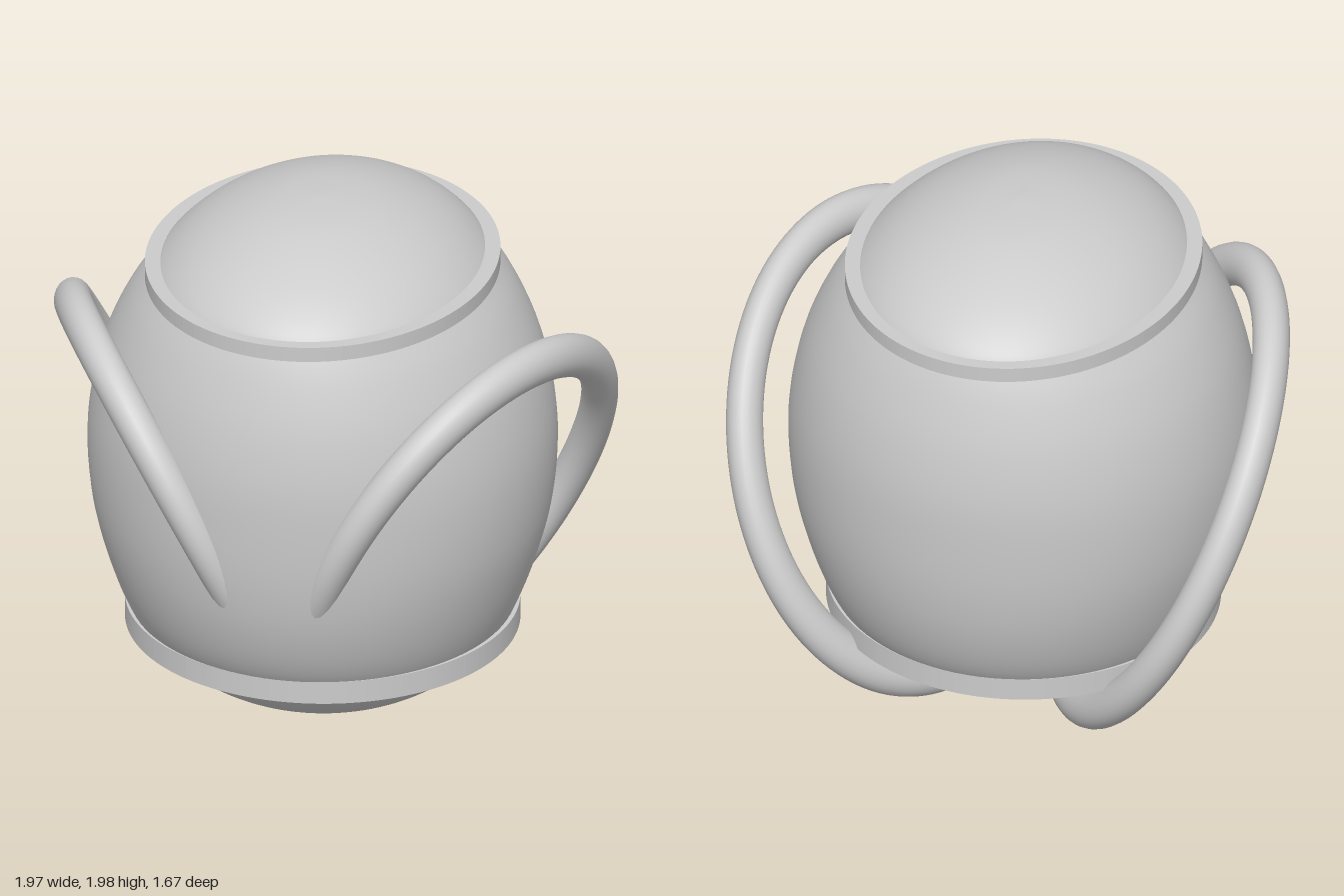
import * as THREE from 'three';
import { mergeVertices } from 'three/addons/utils/BufferGeometryUtils.js';

const material = new THREE.MeshStandardMaterial({ color: 0xcccccc });

function addMesh(parent, name, geometry) {
  const mesh = new THREE.Mesh(geometry, material);
  mesh.name = name;
  parent.add(mesh);
  return mesh;
}

// Barrel body: each row is [half width, height, half depth], bottom to top
function bodyGeometry() {
  const rows = [
    [0, 0.055, 0], [0.2, 0.075, 0.2], [0.39, 0.14, 0.385], [0.53, 0.228, 0.52], [0.63, 0.335, 0.62],
    [0.69, 0.45, 0.705], [0.752, 0.62, 0.772], [0.802, 0.82, 0.812], [0.82, 1.05, 0.828],
    [0.803, 1.23, 0.826], [0.755, 1.42, 0.798], [0.675, 1.59, 0.75], [0.595, 1.7, 0.706],
    [0.545, 1.76, 0.672], [0.46, 1.835, 0.58], [0.34, 1.905, 0.435], [0.18, 1.96, 0.24], [0, 1.98, 0],
  ];
  const curve = new THREE.CatmullRomCurve3(rows.map((r) => new THREE.Vector3(...r)));
  const profile = curve.getPoints(85);
  profile[0].x = profile[85].x = 0;
  const geometry = new THREE.LatheGeometry(profile.map((p) => new THREE.Vector2(Math.max(p.x, 0), p.y)), 96);

  // Stretch each ring from round to its own oval
  const pos = geometry.attributes.position;
  for (let i = 0; i < pos.count; i++) {
    const p = profile[i % profile.length];
    if (p.x > 1e-5) pos.setZ(i, (pos.getZ(i) * p.z) / p.x);
  }
  geometry.deleteAttribute('uv');
  geometry.deleteAttribute('normal');
  const merged = mergeVertices(geometry, 1e-5);
  merged.computeVertexNormals();
  return merged;
}

// Flat-faced oval band with a rectangular section
function bandGeometry(rx, rz, thickness, y0, y1) {
  const shape = new THREE.Shape();
  shape.absellipse(0, 0, rx, rz, 0, Math.PI * 2);
  const hole = new THREE.Path();
  hole.absellipse(0, 0, rx - thickness, rz - thickness, 0, Math.PI * 2);
  shape.holes.push(hole);
  const geometry = new THREE.ExtrudeGeometry(shape, { depth: y1 - y0, bevelEnabled: false, curveSegments: 96 });
  geometry.rotateX(-Math.PI / 2);
  geometry.translate(0, y0, 0);
  return geometry;
}

// Tilted oval ring: centre + u cos t + v sin t
class RingCurve extends THREE.Curve {
  constructor(side, squash) {
    super();
    this.xScale = side / squash;
  }
  getPoint(t, target = new THREE.Vector3()) {
    const c = Math.cos(t * Math.PI * 2);
    const s = Math.sin(t * Math.PI * 2);
    return target.set(
      (0.49 - 0.312 * c + 0.3 * s) * this.xScale,
      0.805 + 0.73 * s,
      0.095 + 0.63 * c + 0.212 * s
    );
  }
}

// Tube is slightly flattened sideways
function handleGeometry(side) {
  const squash = 0.83;
  const geometry = new THREE.TubeGeometry(new RingCurve(side, squash), 128, 0.077, 24, true);
  geometry.scale(squash, 1, 1);
  return geometry;
}

export function createModel() {
  const model = new THREE.Group();
  model.name = 'jar';
  addMesh(model, 'body', bodyGeometry());
  addMesh(model, 'topBand', bandGeometry(0.613, 0.728, 0.08, 1.69, 1.745));
  addMesh(model, 'bottomBand', bandGeometry(0.69, 0.682, 0.1, 0.33, 0.415));
  addMesh(model, 'leftHandle', handleGeometry(1));
  addMesh(model, 'rightHandle', handleGeometry(-1));
  return model;
}
